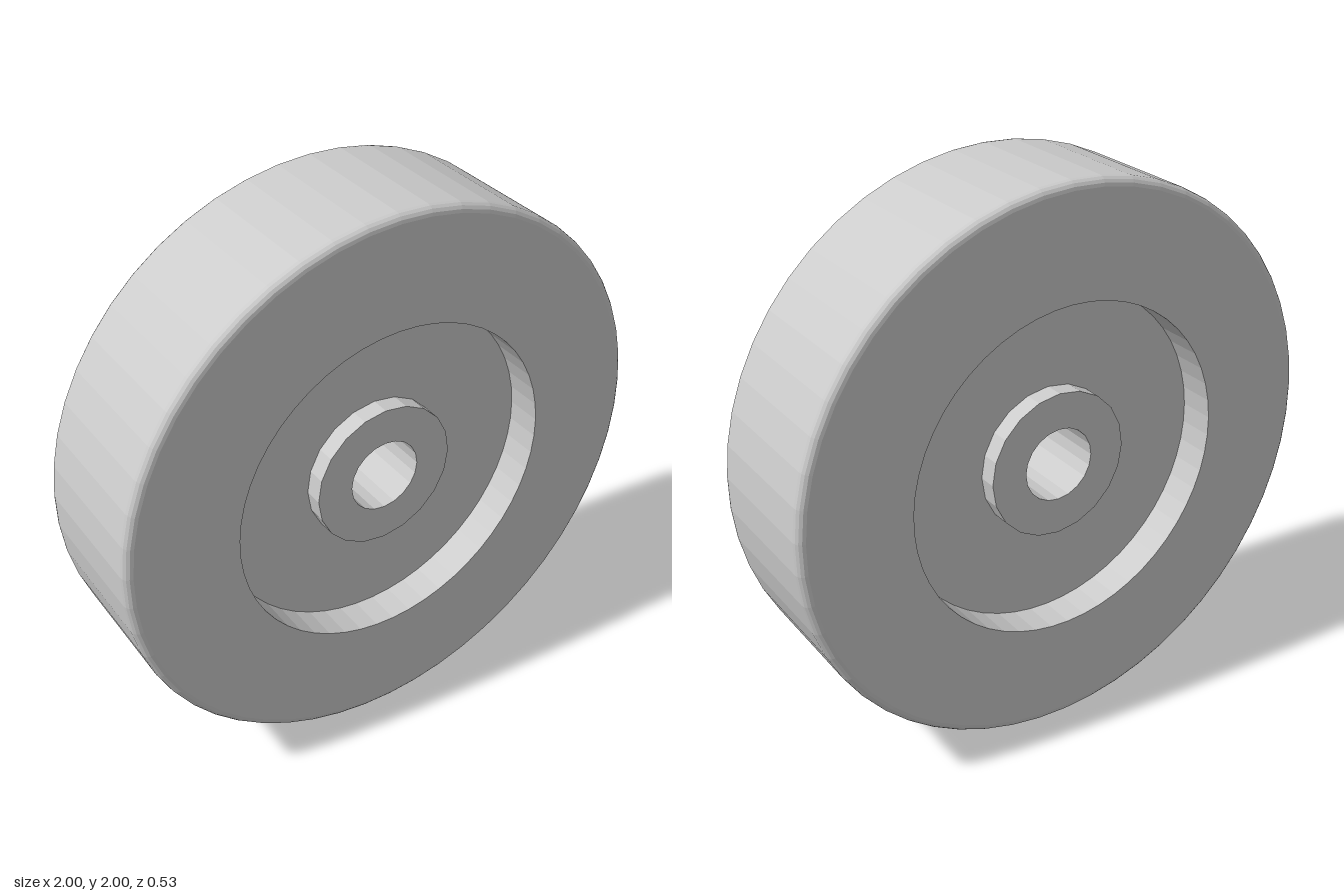
import * as THREE from 'three';

const RADIUS = 1, HALF_WIDTH = 0.265, FILLET = 0.03;
const RECESS_RADIUS = 0.6, WEB_HALF = 0.133;
const HUB_RADIUS = 0.265, HUB_HALF = 0.2, BORE_RADIUS = 0.133;

// Turn a [radius, depth] profile around the wheel axis (z)
function turned(name, profile, segments, material) {
  const points = profile.map(([r, d]) => new THREE.Vector2(r, d));
  const geometry = new THREE.LatheGeometry(points, segments);
  geometry.rotateX(Math.PI / 2);
  const mesh = new THREE.Mesh(geometry, material);
  mesh.name = name;
  return mesh;
}

// Rounded outer corner, from angle a0 over a quarter turn
function fillet(side, a0) {
  const steps = 4;
  return Array.from({ length: steps + 1 }, (_, i) => {
    const a = a0 + (i / steps) * Math.PI / 2;
    return [
      RADIUS - FILLET + FILLET * Math.cos(a),
      side * (HALF_WIDTH - FILLET) + FILLET * Math.sin(a),
    ];
  });
}

export function createModel() {
  const group = new THREE.Group();
  group.name = 'wheel';
  const material = new THREE.MeshStandardMaterial({ color: 0xcccccc, flatShading: true });

  // Rim with a recess on both faces, closed by the web
  const rim = [
    [HUB_RADIUS - 0.03, -WEB_HALF],
    [RECESS_RADIUS, -WEB_HALF],
    [RECESS_RADIUS, -HALF_WIDTH],
    ...fillet(-1, -Math.PI / 2),
    ...fillet(1, 0),
    [RECESS_RADIUS, HALF_WIDTH],
    [RECESS_RADIUS, WEB_HALF],
    [HUB_RADIUS - 0.03, WEB_HALF],
  ];
  group.add(turned('rimAndWeb', rim, 54, material));

  // Raised hub with the axle bore
  const hub = [
    [BORE_RADIUS, -HUB_HALF],
    [HUB_RADIUS, -HUB_HALF],
    [HUB_RADIUS, HUB_HALF],
    [BORE_RADIUS, HUB_HALF],
    [BORE_RADIUS, -HUB_HALF],
  ];
  group.add(turned('hub', hub, 20, material));

  group.position.y = RADIUS;
  return group;
}
